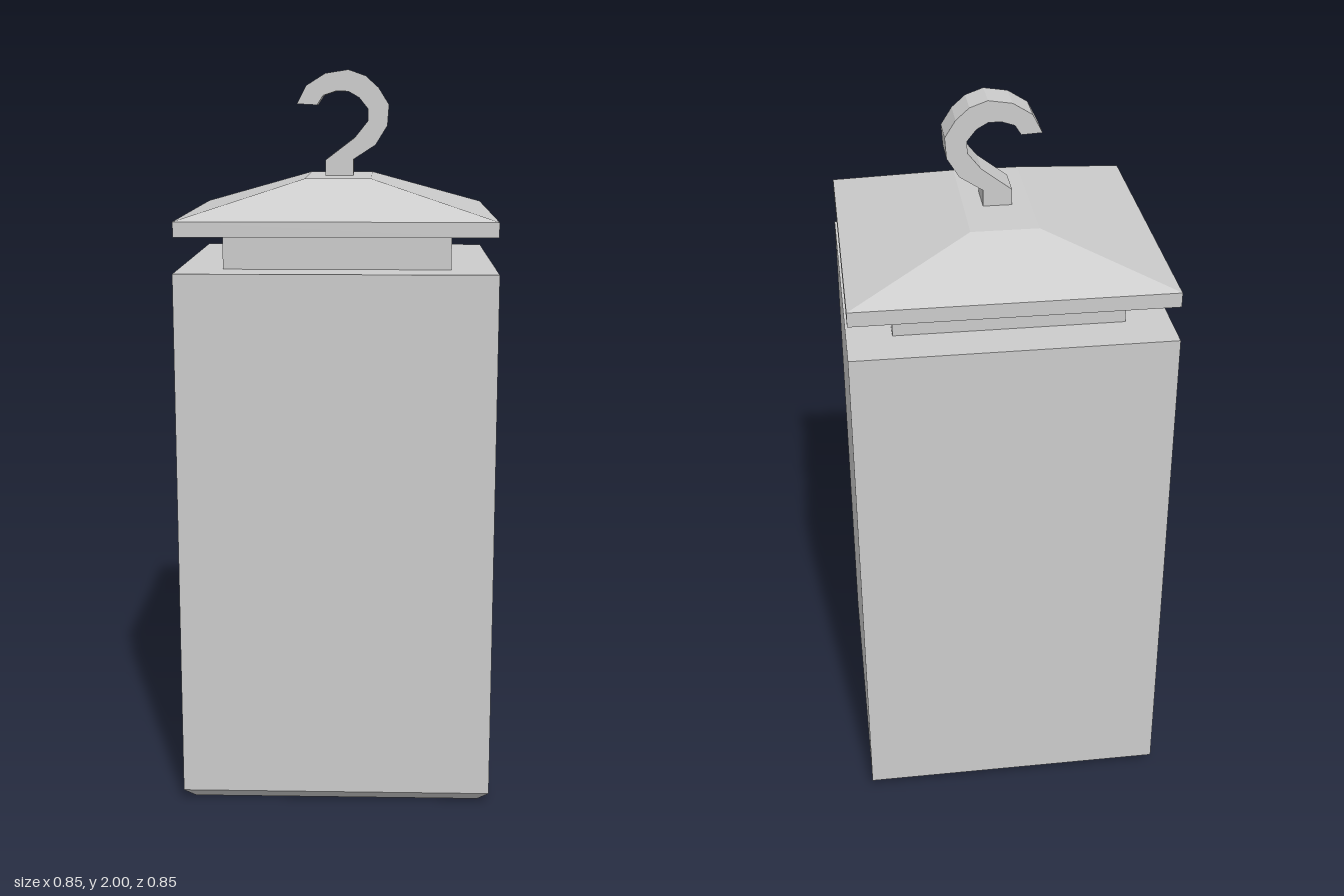
import * as THREE from 'three';

const material = new THREE.MeshStandardMaterial({ color: 0xcccccc, flatShading: true });

// Four-sided lathe: profile entries are [half width, height], running up the outside
function squareLathe(profile) {
  const points = profile.map(([r, y]) => new THREE.Vector2(r * Math.SQRT2, y));
  return new THREE.LatheGeometry(points, 4, Math.PI / 4);
}

function part(name, geometry) {
  const flat = geometry.index ? geometry.toNonIndexed() : geometry;
  flat.computeVertexNormals();
  const mesh = new THREE.Mesh(flat, material);
  mesh.name = name;
  return mesh;
}

export function createModel() {
  const group = new THREE.Group();
  group.name = 'hookedCanister';

  // Hollow body, open underneath, with a bevelled bottom rim
  group.add(part('body', squareLathe([
    [0, 1.44], [0.395, 1.44], [0.395, 0], [0.425, 0.03], [0.425, 1.475], [0, 1.475],
  ])));

  // Narrow neck between body and lid
  const neck = new THREE.BoxGeometry(0.61, 0.11, 0.61);
  neck.translate(0, 1.52, 0);
  group.add(part('neck', neck));

  // Hipped lid: the flat top is squeezed in x into a rectangle
  const lid = squareLathe([[0, 1.57], [0.422, 1.57], [0.422, 1.61], [0.208, 1.71], [0, 1.71]]);
  const pos = lid.attributes.position;
  for (let i = 0; i < pos.count; i++) {
    if (pos.getY(i) > 1.7) pos.setX(i, pos.getX(i) * 0.09 / 0.208);
  }
  group.add(part('lid', lid));

  // Faceted hook, a flat outline extruded front to back
  const outline = [
    [-0.04, 1.7], [0.038, 1.7], [0.038, 1.755], [0.1, 1.795], [0.133, 1.848], [0.137, 1.905],
    [0.108, 1.951], [0.072, 1.983], [0.024, 2.0], [-0.04, 1.99], [-0.093, 1.957], [-0.119, 1.907],
    [-0.063, 1.904], [-0.046, 1.93], [-0.01, 1.942], [0.024, 1.941], [0.054, 1.924],
    [0.079, 1.893], [0.078, 1.86], [0.042, 1.815], [-0.04, 1.753],
  ];
  const shape = new THREE.Shape(outline.map(([x, y]) => new THREE.Vector2(x, y)));
  const hook = new THREE.ExtrudeGeometry(shape, { depth: 0.1, bevelEnabled: false });
  hook.translate(0, 0, -0.05);
  group.add(part('hook', hook));

  return group;
}
